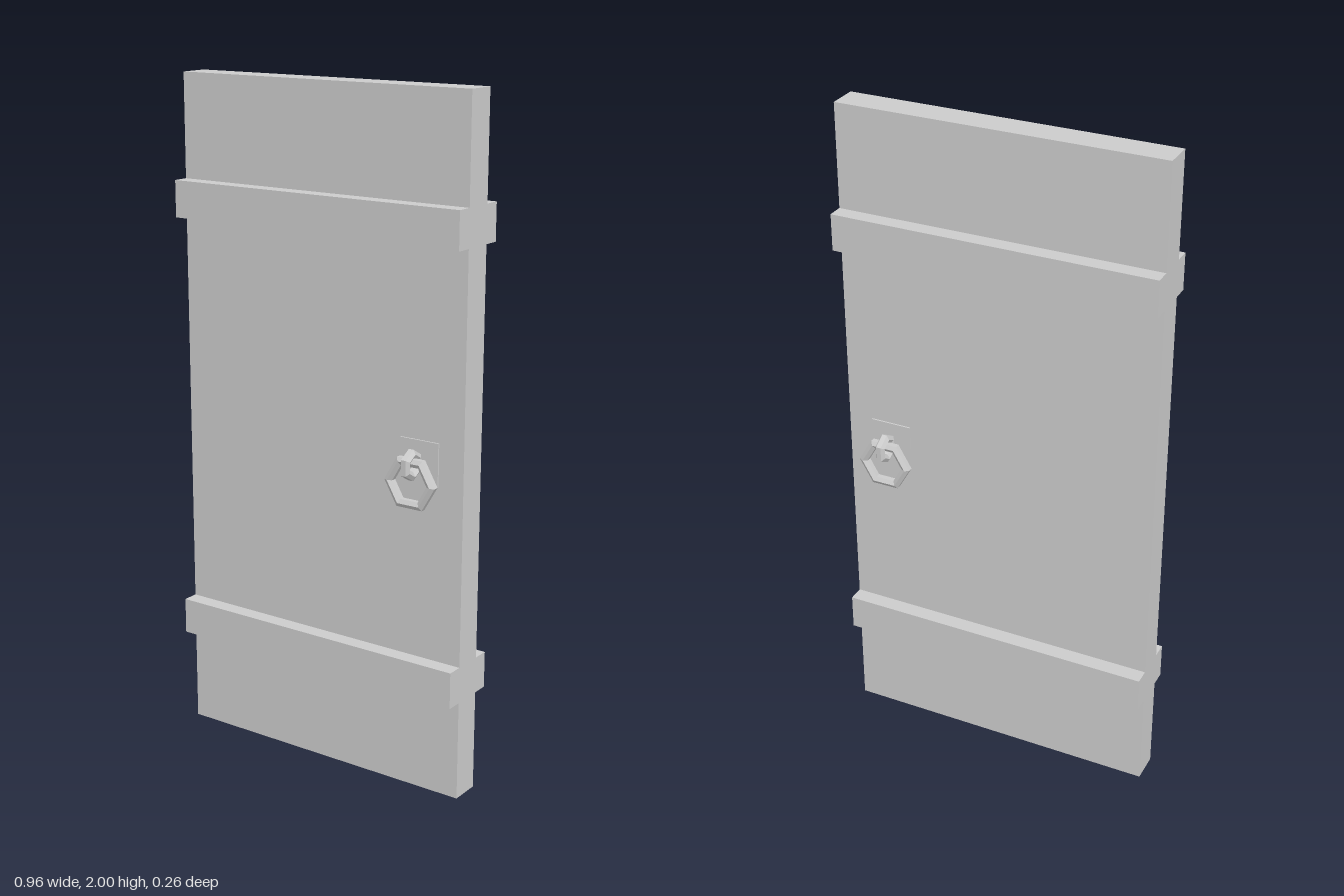
import * as THREE from 'three';

const material = new THREE.MeshStandardMaterial({ color: 0xcccccc, flatShading: true });

function addMesh(parent, name, geometry, x, y, z) {
  const mesh = new THREE.Mesh(geometry, material);
  mesh.name = name;
  mesh.position.set(x, y, z);
  parent.add(mesh);
  return mesh;
}

// Six-sided ring around the y axis with a six-sided bar, flat side outwards
function hexRing(outerRadius, bar) {
  const centre = outerRadius - bar * Math.cos(Math.PI / 6);
  const profile = [];
  for (let i = 0; i <= 6; i++) {
    const a = (i + 0.5) * Math.PI / 3;
    profile.push(new THREE.Vector2(centre + bar * Math.cos(a), bar * Math.sin(a)));
  }
  return new THREE.LatheGeometry(profile, 6, Math.PI / 2);
}

// Square plate, upright loop and hanging ring
function createHandle() {
  const handle = new THREE.Group();
  addMesh(handle, 'handlePlate', new THREE.BoxGeometry(0.125, 0.125, 0.012), 0.338, 0.983, 0.044);
  addMesh(handle, 'handleLoop', hexRing(0.045, 0.015).rotateZ(Math.PI / 2), 0.34, 0.985, 0.092);
  addMesh(handle, 'handleRing', hexRing(0.082, 0.015).rotateX(Math.PI / 2), 0.34, 0.933, 0.092);
  return handle;
}

export function createModel() {
  const door = new THREE.Group();
  door.name = 'door';

  addMesh(door, 'doorPanel', new THREE.BoxGeometry(0.96, 2, 0.09), 0, 1, 0);

  // Cross battens and handles on both faces
  for (const [side, sign] of [['front', 1], ['back', -1]]) {
    addMesh(door, side + 'LowerBatten', new THREE.BoxGeometry(0.96, 0.108, 0.048), 0, 0.351, sign * 0.069);
    addMesh(door, side + 'UpperBatten', new THREE.BoxGeometry(0.96, 0.108, 0.048), 0, 1.642, sign * 0.069);

    const handle = createHandle();
    handle.name = side + 'Handle';
    if (sign < 0) {
      // Half turn, then shift so both handles share the same edge of the door
      handle.rotation.y = Math.PI;
      handle.position.x = 0.68;
    }
    door.add(handle);
  }
  return door;
}
